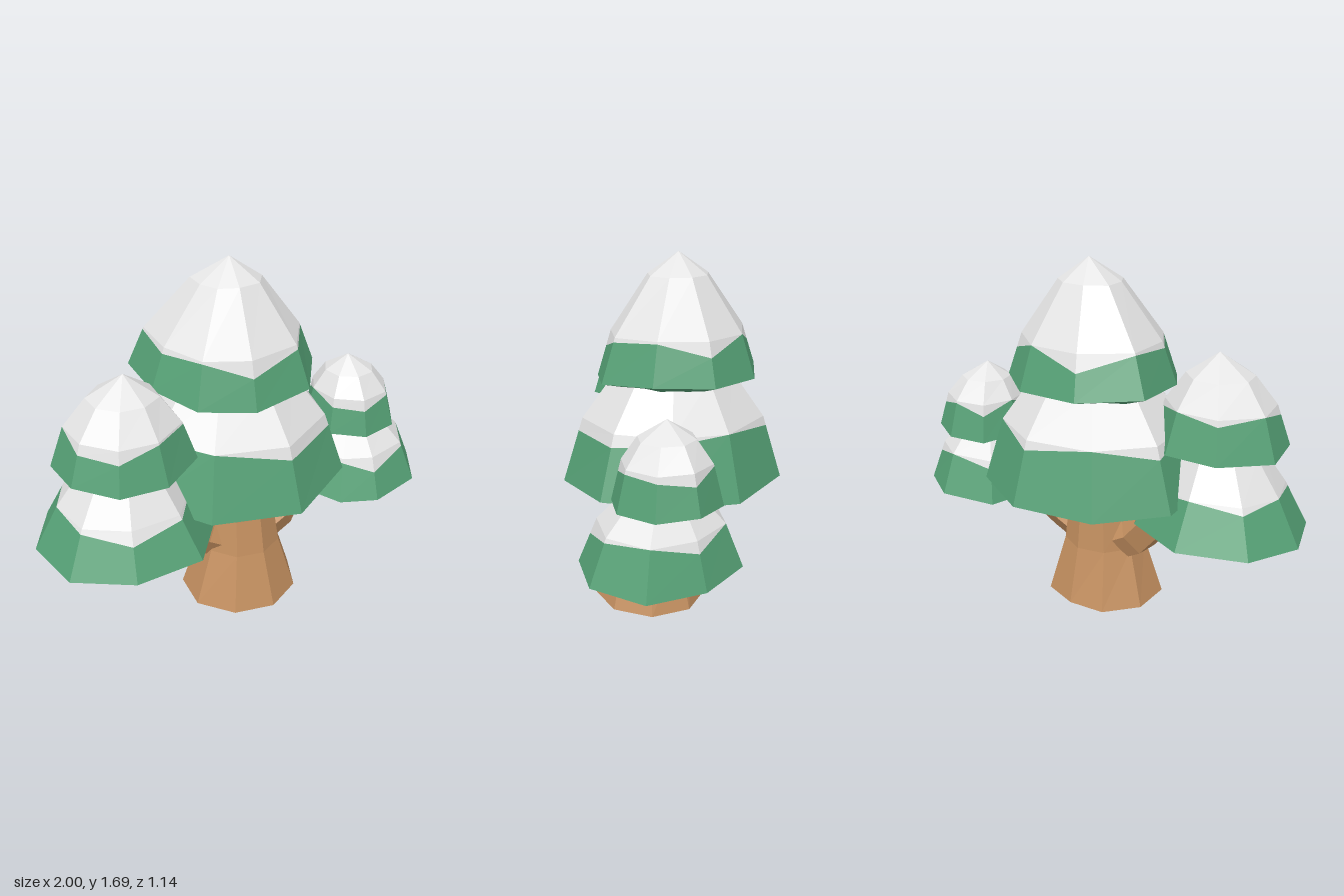
import * as THREE from 'three';

const mat = (name, color) => {
  const m = new THREE.MeshStandardMaterial({ color, flatShading: true });
  m.name = name;
  return m;
};

// Skins a stack of rings, listed from bottom to top
function loft(rings) {
  const pos = [];
  const tri = (a, b, c) => {
    if (a.distanceTo(b) < 1e-5 || b.distanceTo(c) < 1e-5 || c.distanceTo(a) < 1e-5) return;
    for (const p of [a, b, c]) pos.push(p.x, p.y, p.z);
  };
  for (let k = 0; k + 1 < rings.length; k++) {
    const lo = rings[k], hi = rings[k + 1], n = lo.length;
    for (let i = 0; i < n; i++) {
      const j = (i + 1) % n;
      tri(lo[i], lo[j], hi[j]);
      tri(lo[i], hi[j], hi[i]);
    }
  }
  const g = new THREE.BufferGeometry();
  g.setAttribute('position', new THREE.Float32BufferAttribute(pos, 3));
  g.computeVertexNormals();
  return g;
}

// Ring through corners [degrees, radius scale, lift], counter-clockwise from above
const ring = (corners, r, x, y, z, lifted = 0) => corners.map(([deg, s, lift = 0]) => {
  const a = THREE.MathUtils.degToRad(deg);
  return new THREE.Vector3(x + r * s * Math.cos(a), y + lift * lifted, z - r * s * Math.sin(a));
});

export function createModel() {
  const snow = mat('snow', 0xe4e4e4);
  const needles = mat('needles', 0x55a075);
  const bark = mat('bark', 0xc49060);
  const model = new THREE.Group();
  model.name = 'snowyTree';

  const add = (parent, name, geometry, material) => {
    const m = new THREE.Mesh(geometry, material);
    m.name = name;
    parent.add(m);
  };

  // One foliage tier: green skirt with a snow cap that dips unevenly over it.
  // rim, shoulder, crown: [radius, y]; apex: [x, y, z]; centre: [x, z]
  function tier(name, { corners, centre, rim, shoulder, crown, apex, drop, dips }) {
    const at = ([r, y], lifted) => {
      const t = ((y - rim[1]) / (apex[1] - rim[1])) ** 2;
      return ring(corners, r, centre[0] + (apex[0] - centre[0]) * t, y,
        centre[1] + (apex[2] - centre[1]) * t, lifted);
    };
    const edge = at(rim, 1);
    const top = at(shoulder, 0.4);
    const line = top.map((p, i) => p.clone().lerp(edge[i], dips[i]));
    const under = ring(corners, rim[0] * 0.55, centre[0], rim[1] - drop, centre[1]);
    const base = ring(corners, 0, centre[0], rim[1] - drop, centre[1]);
    const tip = ring(corners, 0, ...apex);
    const g = new THREE.Group();
    g.name = name;
    add(g, name + 'Needles', loft([base, under, edge, line]), needles);
    add(g, name + 'Snow', loft([line, top, at(crown), tip]), snow);
    model.add(g);
  }

  tier('centreLowerTier', {
    corners: [[8, 1, 0.01], [43, 0.97], [87, 0.94, 0.01], [131, 0.94], [169, 1.03, 0.01],
      [209, 1, 0.01], [247, 0.96, -0.02], [293, 1.02, -0.02], [335, 1.07, 0.015]],
    centre: [-0.035, -0.07], rim: [0.535, 0.645], shoulder: [0.44, 0.94],
    crown: [0.28, 1.15], apex: [-0.02, 1.32, -0.07], drop: 0.075,
    dips: [0.1, 0, 0.15, 0, 0.2, 0, 0, 0.2, 0.2],
  });
  tier('centreUpperTier', {
    corners: [[-5, 1.04, 0.015], [34, 0.97], [75, 0.93, -0.005], [121, 0.95], [161, 1.12, 0.02],
      [200, 0.99, 0.01], [237, 1, -0.02], [275, 0.95, -0.04], [317, 1.05, -0.01]],
    centre: [-0.032, -0.08], rim: [0.405, 1.145], shoulder: [0.335, 1.34],
    crown: [0.15, 1.59], apex: [-0.01, 1.69, -0.08], drop: 0.06,
    dips: [0.05, 0.35, 0, 0.4, 0.05, 0.15, 0.05, 0.35, 0.1],
  });
  tier('rightLowerTier', {
    corners: [[0, 1.11, 0.01], [45, 1], [92, 0.93], [140, 0.97, 0.01], [181, 0.945],
      [225, 0.94, -0.01], [270, 0.94], [314, 1.07, 0.01]],
    centre: [-0.61, 0.178], rim: [0.412, 0.505], shoulder: [0.3, 0.71],
    crown: [0.19, 0.87], apex: [-0.57, 1.0, 0.17], drop: 0.055,
    dips: [0, 0.2, 0, 0.15, 0, 0.1, 0.3, 0.1],
  });
  tier('rightUpperTier', {
    corners: [[-20, 1.06, 0.015], [28, 1], [75, 0.98], [122, 0.98], [172, 1.01, -0.01],
      [215, 0.98], [257, 0.97, -0.015], [298, 0.99, -0.01]],
    centre: [-0.575, 0.17], rim: [0.313, 0.9], shoulder: [0.25, 1.085],
    crown: [0.155, 1.21], apex: [-0.55, 1.31, 0.17], drop: 0.05,
    dips: [0.05, 0.2, 0, 0.15, 0, 0.25, 0.3, 0.05],
  });
  tier('leftLowerTier', {
    corners: [[3, 1], [48, 0.88], [94, 0.98, 0.01], [138, 1.08], [198, 1.04, 0.01],
      [242, 1, -0.01], [273, 0.98, -0.01], [319, 0.99]],
    centre: [0.645, -0.125], rim: [0.355, 0.475], shoulder: [0.275, 0.67],
    crown: [0.18, 0.77], apex: [0.63, 0.9, -0.14], drop: 0.055,
    dips: [0, 0.25, 0, 0.2, 0, 0.1, 0.35, 0.1],
  });
  tier('leftUpperTier', {
    corners: [[0, 0.98], [45, 0.98, 0.01], [90, 0.98], [135, 1, -0.01], [180, 0.98, 0.01],
      [225, 0.98], [270, 0.98, -0.01], [315, 1]],
    centre: [0.643, -0.155], rim: [0.24, 0.76], shoulder: [0.195, 0.935],
    crown: [0.125, 1.03], apex: [0.62, 1.105, -0.15], drop: 0.035,
    dips: [0.15, 0.3, 0.05, 0.3, 0, 0.25, 0.3, 0.1],
  });

  // Flared trunk, slightly flattened at the back of its foot
  const around = (scales) => scales.map((s, i) => [i * 40 - 70, s]);
  const even = around(Array(9).fill(1));
  const foot = around([1, 1, 1, 0.95, 0.86, 0.95, 1, 1.03, 1]);
  add(model, 'trunk', loft([
    ring(foot, 0, 0, 0, 0.04), ring(foot, 0.29, 0, 0, 0.035), ring(even, 0.2, 0, 0.28, 0.043),
    ring(even, 0.175, 0, 0.46, 0.035), ring(even, 0.17, 0, 0.75, 0.02), ring(even, 0, 0, 0.75, 0.02),
  ]), bark);

  // Branches bending up into the side crowns
  function branch(name, radius, ...points) {
    const path = new THREE.CatmullRomCurve3(points.map((p) => new THREE.Vector3(...p)));
    add(model, name, new THREE.TubeGeometry(path, 3, radius, 6), bark);
  }
  branch('rightBranch', 0.122, [-0.03, 0.27, 0.04], [-0.27, 0.43, 0.07], [-0.38, 0.7, 0.12]);
  branch('leftBranch', 0.115, [0.03, 0.28, 0.04], [0.27, 0.43, -0.03], [0.37, 0.68, -0.2]);

  return model;
}
